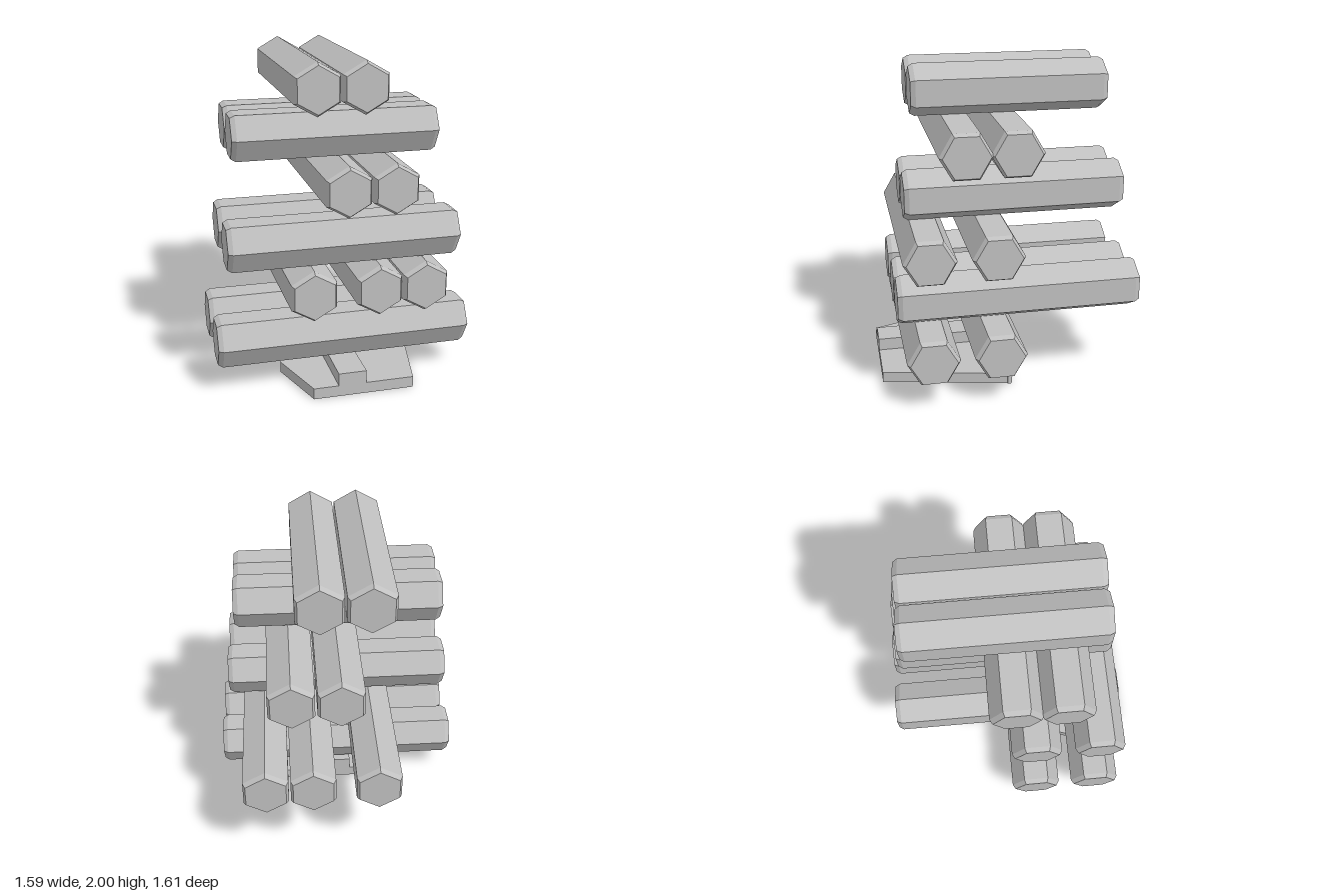
import * as THREE from 'three';

export function createModel() {
  const model = new THREE.Group();
  const grey = new THREE.MeshStandardMaterial({ color: 0xc0c0c0, flatShading: true });
  grey.name = 'grey';

  const add = (name, geometry) => {
    const mesh = new THREE.Mesh(geometry, grey);
    mesh.name = name;
    model.add(mesh);
    return mesh;
  };

  // Six-sided log with chamfered ends, lying along y
  const R = 0.162, END = 0.144, CHAMFER = 0.03;
  const logGeometry = (length) => {
    const h = length / 2;
    const profile = [[0, -h], [END, -h], [R, -h + CHAMFER], [R, h - CHAMFER], [END, h], [0, h]]
      .map(([x, y]) => new THREE.Vector2(x, y));
    return new THREE.LatheGeometry(profile, 6);
  };

  // Layers running front to back, ridge upwards
  const lengthwise = [
    { y: 0.62, z0: -0.805, z1: 0.71, xs: [-0.212, 0.197, 0.49] },
    { y: 1.23, z0: -0.73, z1: 0.635, xs: [0.02, 0.315] },
    { y: 1.838, z0: -0.66, z1: 0.56, xs: [-0.155, 0.138] },
  ];
  for (const { y, z0, z1, xs } of lengthwise) {
    for (const x of xs) {
      const log = add('lengthwiseLog', logGeometry(z1 - z0).rotateX(Math.PI / 2));
      log.position.set(x, y, (z0 + z1) / 2);
    }
  }

  // Layers running side to side, flat side upwards
  const crosswise = [
    { y: 0.315, half: 0.793, zs: [0.518, 0.107] },
    { y: 0.925, half: 0.718, zs: [0.518, 0.107] },
    { y: 1.535, half: 0.644, zs: [0.285, -0.02] },
  ];
  for (const { y, half, zs } of crosswise) {
    for (const z of zs) {
      const log = add('crosswiseLog', logGeometry(half * 2).rotateZ(-Math.PI / 2));
      log.position.set(0, y, z);
    }
  }

  // Five-sided base slab
  const outline = [[-0.245, 0.805], [0.385, 0.805], [0.56, 0], [-0.24, 0], [-0.375, 0.42]];
  const slab = new THREE.Shape(outline.map(([x, z]) => new THREE.Vector2(x, -z)));
  add('baseSlab', new THREE.ExtrudeGeometry(slab, { depth: 0.07, bevelEnabled: false })
    .rotateX(-Math.PI / 2));

  // Raised rib along the slab
  add('baseRib', new THREE.BoxGeometry(0.175, 0.08, 0.805)).position.set(-0.003, 0.11, 0.4025);

  // Thin leaning splinter at the back corner of the slab
  const splinter = new THREE.Shape([[0.025, 0], [0, 0], [-0.012, 0.15], [0.008, 0.15], [0.025, 0.07]]
    .map(([z, y]) => new THREE.Vector2(-z, y)));
  add('baseSplinter', new THREE.ExtrudeGeometry(splinter, { depth: 0.005, bevelEnabled: false })
    .rotateY(Math.PI / 2)).position.x = 0.555;

  return model;
}
